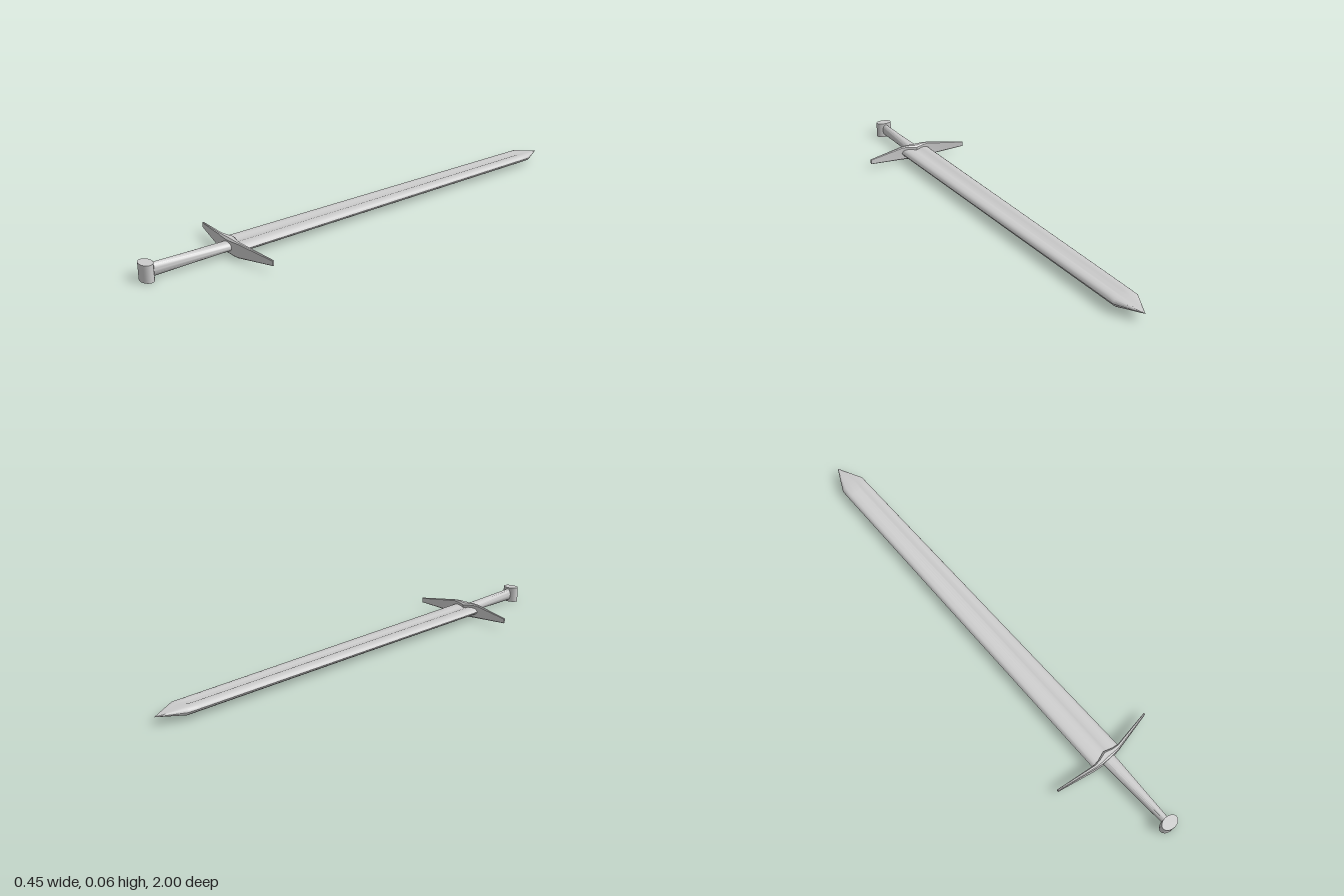
import * as THREE from 'three';
import { toCreasedNormals } from 'three/addons/utils/BufferGeometryUtils.js';

const MID = 0.0325; // height of the sword's centre plane

// Skin a row of equal-length rings and close both ends
function loft(rings, crease) {
  const n = rings[0].length, last = (rings.length - 1) * n, index = [];
  for (let i = 0; i < rings.length - 1; i++) {
    for (let j = 0; j < n; j++) {
      const a = i * n + j, b = i * n + (j + 1) % n;
      index.push(a, b, b + n, a, b + n, a + n);
    }
  }
  for (let j = 1; j < n - 1; j++) {
    index.push(0, j + 1, j, last, last + j, last + j + 1);
  }
  const geo = new THREE.BufferGeometry();
  geo.setAttribute('position', new THREE.Float32BufferAttribute(rings.flat(2), 3));
  geo.setIndex(index);
  return toCreasedNormals(geo, crease);
}

// Blade outline at one station: rounded edges and a shallow central fuller
function bladeRing(z, w, t, fuller) {
  const quarter = [[1, 0], [0.94, 0.5], [0.82, 0.85], [0.65, 1], [0.32, 1], [0.18, 1 - fuller]];
  const upper = [...quarter, [0, 1 - fuller * 1.2],
    ...quarter.slice(1).reverse().map(([x, y]) => [-x, y])];
  const ring = [...upper, [-1, 0], ...upper.slice(1).reverse().map(([x, y]) => [x, -y])];
  return ring.map(([x, y]) => [x * w, MID + y * t, z]);
}

// Guard section: chamfered rectangle from z0 to z1, half height h
function guardRing(x, z0, z1, h) {
  const c = Math.min(h, z1 - z0) * 0.25;
  return [[h, z0 + c], [h, z1 - c], [h - c, z1], [c - h, z1],
    [-h, z1 - c], [-h, z0 + c], [c - h, z0], [h - c, z0]]
    .map(([y, z]) => [x, MID + y, z]);
}

// Oval section of the grip
function ovalRing(z, rx, ry, n = 24) {
  return Array.from({ length: n }, (_, i) => {
    const a = i / n * Math.PI * 2;
    return [Math.cos(a) * rx, MID + Math.sin(a) * ry, z];
  });
}

export function createModel() {
  const sword = new THREE.Group();
  sword.name = 'sword';
  const material = new THREE.MeshStandardMaterial({ color: 0xcccccc });
  const add = (name, geometry) => {
    const mesh = new THREE.Mesh(geometry, material);
    mesh.name = name;
    sword.add(mesh);
    return mesh;
  };

  // Blade, from point to guard
  add('blade', loft([
    bladeRing(-1, 0.0005, 0.0005, 0),
    bladeRing(-0.9, 0.051, 0.0145, 0),
    bladeRing(-0.86, 0.0515, 0.0145, 0.2),
    bladeRing(0.64, 0.066, 0.0145, 0.2),
  ], 0.6));

  // Crossguard, arms sweeping towards the blade
  const arm = [[0.225, 0.612, 0.619, 0.0105], [0.06, 0.637, 0.652, 0.0295], [0.035, 0.633, 0.655, 0.0305]];
  add('crossguard', loft([
    ...arm.map(([x, ...s]) => guardRing(-x, ...s)),
    guardRing(0, 0.621, 0.656, 0.0305),
    ...arm.reverse().map(([x, ...s]) => guardRing(x, ...s)),
  ], 0.4));

  // Grip, narrowing in plan and deepening towards the pommel
  add('grip', loft([ovalRing(0.64, 0.029, 0.017), ovalRing(0.965, 0.014, 0.026)], 0.6));

  // Pommel, an upright oval drum
  const pommel = add('pommel', new THREE.CylinderGeometry(1, 1, 0.065, 32));
  pommel.scale.set(0.035, 1, 0.024);
  pommel.position.set(0, MID, 0.976);

  return sword;
}
